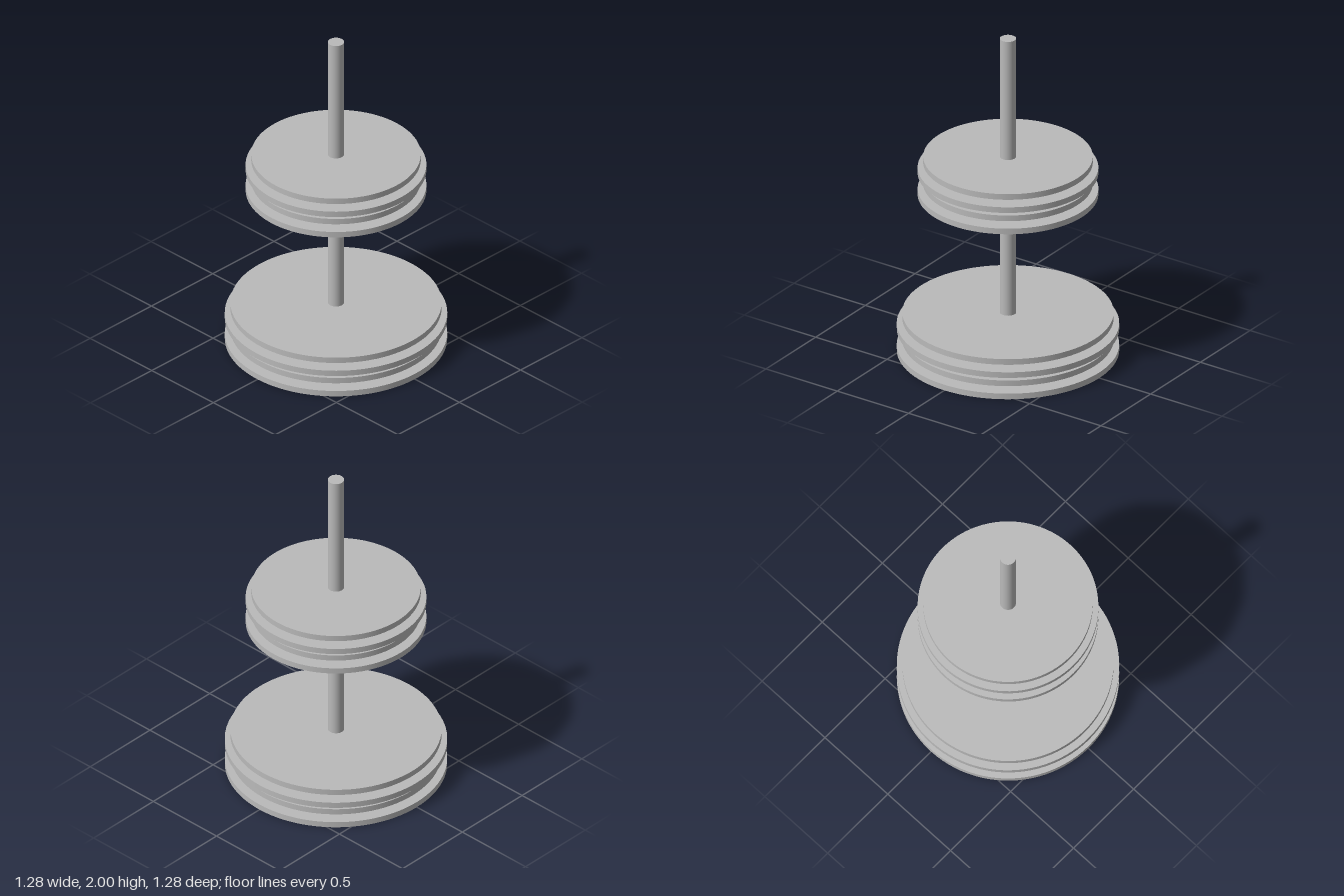
import * as THREE from 'three';

const THICKNESS = 0.036;
const SPACING = 0.0685;

export function createModel() {
  const model = new THREE.Group();
  model.name = 'tieredStand';
  const grey = new THREE.MeshStandardMaterial({ color: 0xbababa });
  grey.name = 'grey';

  // Solid upright cylinder standing on the given height
  function addCylinder(parent, name, radius, height, bottom, segments) {
    const mesh = new THREE.Mesh(new THREE.CylinderGeometry(radius, radius, height, segments), grey);
    mesh.name = name;
    mesh.position.y = bottom + height / 2;
    parent.add(mesh);
  }

  // Four discs alternating between a wide and a narrow radius
  function addTier(name, bottom, wide, narrow) {
    const tier = new THREE.Group();
    tier.name = name;
    tier.position.y = bottom;
    for (let i = 0; i < 4; i++) {
      addCylinder(tier, `disc${i + 1}`, i % 2 ? narrow : wide, THICKNESS, i * SPACING, 96);
    }
    model.add(tier);
  }

  addTier('lowerTier', 0, 0.64, 0.608);
  addTier('upperTier', 1, 0.52, 0.488);

  // Central pole, seated inside the bottom disc
  addCylinder(model, 'pole', 0.047, 1.99, 0.01, 48);
  return model;
}
